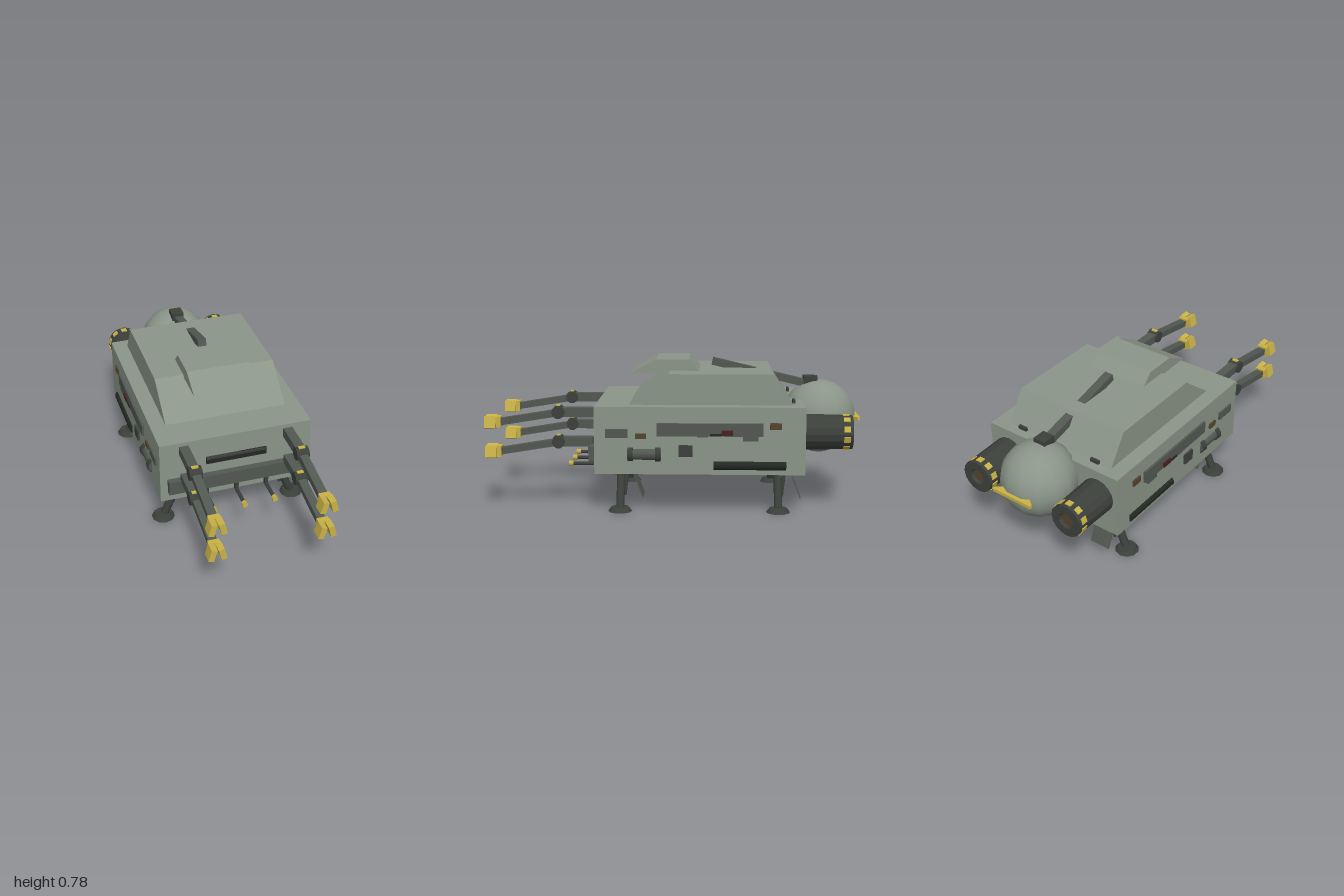
import * as THREE from 'three';

const mat = (color, extra = {}) => new THREE.MeshStandardMaterial({ color, ...extra });
const HULL = mat(0x8a9588), GREY = mat(0x525852), DARK = mat(0x3c403b), BLACK = mat(0x222822);
const GOLD = mat(0xc9b247), BROWN = mat(0x54442c), RED = mat(0x4c2020);

function add(parent, name, geometry, material, x = 0, y = 0, z = 0) {
  const m = new THREE.Mesh(geometry, material);
  m.name = name;
  m.position.set(x, y, z);
  parent.add(m);
  return m;
}
const box = (p, name, material, w, h, d, x, y, z) =>
  add(p, name, new THREE.BoxGeometry(w, h, d), material, x, y, z);

// Box given by its limits on each axis
const span = (p, name, material, x0, x1, y0, y1, z0, z1) =>
  box(p, name, material, x1 - x0, y1 - y0, z1 - z0, (x0 + x1) / 2, (y0 + y1) / 2, (z0 + z1) / 2);

// Box or round bar running between two points
function bar(p, name, material, a, b, w, h) {
  const from = new THREE.Vector3(...a), to = new THREE.Vector3(...b);
  const length = from.distanceTo(to);
  const g = h ? new THREE.BoxGeometry(w, h, length)
    : new THREE.CylinderGeometry(w, w, length, 10).rotateX(Math.PI / 2);
  const m = add(p, name, g, material);
  m.position.copy(from).add(to).multiplyScalar(0.5);
  m.lookAt(to);
  return m;
}

// Side profile of [z, y] points extruded across the width
function profile(p, name, material, points, width) {
  const shape = new THREE.Shape(points.map(([z, y]) => new THREE.Vector2(-z, y)));
  const g = new THREE.ExtrudeGeometry(shape, { depth: width, bevelEnabled: false });
  g.translate(0, 0, -width / 2).rotateY(Math.PI / 2);
  return add(p, name, g, material);
}

// Jointed arm with a two-pronged claw
function makeArm(x, y, z0) {
  const arm = new THREE.Group();
  arm.name = 'grabberArm';
  span(arm, 'upperArm', GREY, -0.025, 0.025, -0.025, 0.025, z0, 0.61);
  add(arm, 'elbow', new THREE.CylinderGeometry(0.035, 0.035, 0.066, 10).rotateZ(Math.PI / 2), DARK, 0, 0, 0.61);
  box(arm, 'elbowPin', GOLD, 0.035, 0.008, 0.02, 0, 0.034, 0.61);
  bar(arm, 'forearm', GREY, [0, -0.003, 0.61], [0, -0.055, 0.93], 0.044, 0.036);
  for (const s of [-1, 1]) {
    const prong = box(arm, 'clawProng', GOLD, 0.03, 0.064, 0.06, s * 0.026, -0.055, 0.97);
    prong.rotation.z = s * 0.26;
  }
  box(arm, 'clawBase', GOLD, 0.06, 0.058, 0.03, 0, -0.053, 0.93);
  arm.position.set(x, y, 0);
  return arm;
}

// Landing leg with splayed strut, round foot and door flap
function makeLeg(s, z) {
  const leg = new THREE.Group();
  leg.name = 'landingLeg';
  add(leg, 'foot', new THREE.CylinderGeometry(0.047, 0.063, 0.022, 10), DARK, s * 0.37, 0.011, 0);
  bar(leg, 'strut', DARK, [s * 0.363, 0.018, 0], [s * 0.28, 0.21, 0], 0.022);
  bar(leg, 'brace', DARK, [s * 0.308, 0.07, -0.02], [s * 0.285, 0.2, -0.035], 0.009);
  span(leg, 'mount', DARK, s * 0.285 - 0.055, s * 0.285 + 0.055, 0.188, 0.208, -0.03, 0.03);
  for (const d of [-0.045, 0.045]) {
    span(leg, 'hinge', DARK, s * 0.285 - 0.03, s * 0.285 + 0.03, 0.194, 0.208, d - 0.02, d + 0.02);
    box(leg, 'hingePin', GOLD, 0.045, 0.012, 0.012, s * 0.285, 0.196, d);
  }
  bar(leg, 'doorFlap', GREY, [s * 0.283, 0.207, -0.065], [s * 0.283, 0.068, -0.118], 0.115, 0.006);
  leg.position.z = z;
  return leg;
}

// Rear engine with gold studs round the rim and a sunken nozzle
function makeEngine(x) {
  const engine = new THREE.Group();
  engine.name = 'engine';
  const pts = [[0, 0], [0.096, 0], [0.09, 0.255], [0.045, 0.255], [0.035, 0.235], [0, 0.235]];
  const shell = new THREE.LatheGeometry(pts.map(p => new THREE.Vector2(...p)), 16).rotateX(-Math.PI / 2);
  add(engine, 'engineShell', shell, mat(0x3c403b, { flatShading: true, side: THREE.DoubleSide }));
  add(engine, 'nozzle', new THREE.CylinderGeometry(0.036, 0.036, 0.01, 12).rotateX(Math.PI / 2), BROWN, 0, 0, -0.236);
  for (let i = 0; i < 10; i++) {
    const a = (i + 0.5) * Math.PI / 5;
    const stud = box(engine, 'rimStud', GOLD, 0.012, 0.032, 0.034, Math.cos(a) * 0.087, Math.sin(a) * 0.087, -0.222);
    stud.rotation.z = a;
  }
  engine.position.set(x, 0.415, -0.68);
  return engine;
}

// Panels, pipe and tank on one flank
function makeFlank(s) {
  const flank = new THREE.Group();
  flank.name = 'flankDetails';
  const plates = [
    ['longPanel', GREY, -0.465, 0.085, 0.41, 0.477, 0.012],
    ['frontPanel', GREY, 0.235, 0.35, 0.4, 0.445, 0.01],
    ['frontMarker', BROWN, 0.14, 0.195, 0.395, 0.423, 0.01],
    ['redLight', RED, -0.31, -0.25, 0.415, 0.442, 0.02],
    ['darkSlot', BLACK, -0.25, -0.19, 0.412, 0.425, 0.016],
    ['rearMarker', BROWN, -0.56, -0.5, 0.447, 0.48, 0.01],
    ['hatch', DARK, -0.1, -0.03, 0.302, 0.362, 0.012],
    ['smallPanel', GREY, -0.44, -0.36, 0.386, 0.412, 0.01],
    ['smallTab', GREY, -0.18, -0.125, 0.404, 0.412, 0.01],
  ];
  for (const [name, m, z0, z1, y0, y1, t] of plates)
    box(flank, name, m, t * 2, y1 - y0, z1 - z0, s * 0.413, (y0 + y1) / 2, (z0 + z1) / 2);
  bar(flank, 'lowerPipe', BLACK, [s * 0.405, 0.255, -0.585], [s * 0.405, 0.255, -0.21], 0.025);
  bar(flank, 'tank', GREY, [s * 0.398, 0.312, 0.062], [s * 0.398, 0.312, 0.238], 0.033);
  for (const z of [0.078, 0.222])
    bar(flank, 'tankBand', DARK, [s * 0.398, 0.312, z - 0.014], [s * 0.398, 0.312, z + 0.014], 0.041);
  return flank;
}

export function createModel() {
  const ship = new THREE.Group();
  ship.name = 'utilityShip';

  // Hull, raised cabin and overhanging roof pod
  span(ship, 'hull', HULL, -0.413, 0.413, 0.207, 0.56, -0.685, 0.41);
  profile(ship, 'cabin', HULL, [[0.238, 0.555], [0.028, 0.721], [-0.522, 0.721], [-0.628, 0.555]], 0.662);
  profile(ship, 'roofPod', HULL, [[0.235, 0.708], [0.1, 0.78], [-0.078, 0.78], [-0.145, 0.708]], 0.348);

  // Sloping boom from the roof to the rear sphere
  bar(ship, 'boom', GREY, [0, 0.757, -0.202], [0, 0.636, -0.715], 0.048, 0.04);
  span(ship, 'boomClamp', DARK, -0.035, 0.035, 0.632, 0.677, -0.775, -0.7);
  for (const x of [-0.235, 0.235]) box(ship, 'rearLatch', DARK, 0.05, 0.02, 0.014, x, 0.57, -0.632);

  // Rear sphere with its gold handle
  add(ship, 'rearSphere', new THREE.SphereGeometry(0.2, 14, 14), HULL, 0, 0.457, -0.787);
  const handle = new THREE.Shape([[-0.12, 1], [0.12, 1], [0.12, 0.985], [0.085, 0.958], [-0.085, 0.958], [-0.12, 0.985]]
    .map(p => new THREE.Vector2(...p)));
  const handleGeo = new THREE.ExtrudeGeometry(handle, { depth: 0.018, bevelEnabled: false }).rotateX(-Math.PI / 2);
  add(ship, 'sphereHandle', handleGeo, GOLD, 0, 0.448, 0);

  // Front slot, lower bumper and three short guns
  span(ship, 'frontSlot', BLACK, -0.165, 0.165, 0.406, 0.445, 0.4, 0.423);
  span(ship, 'frontSlotLip', DARK, -0.165, 0.165, 0.435, 0.445, 0.41, 0.428);
  span(ship, 'bumper', GREY, -0.373, 0.373, 0.265, 0.343, 0.4, 0.445);
  for (const x of [-0.166, 0, 0.166]) {
    span(ship, 'gunBracket', DARK, x - 0.009, x + 0.009, 0.21, 0.27, 0.412, 0.435);
    bar(ship, 'gunBarrel', DARK, [x, 0.211, 0.4], [x, 0.211, 0.55], 0.01);
    add(ship, 'gunTip', new THREE.CylinderGeometry(0.016, 0.016, 0.025, 6).rotateX(Math.PI / 2), GOLD, x, 0.211, 0.562);
  }

  // Ladder-like vent under the tail
  const vent = new THREE.Group();
  vent.name = 'tailVent';
  for (const x of [-0.05, 0.05]) box(vent, 'ventRail', GREY, 0.012, 0.018, 0.33, x, 0, 0);
  for (let i = 0; i < 5; i++) box(vent, 'ventRung', GREY, 0.1, 0.018, 0.012, 0, 0, -0.159 + i * 0.0795);
  box(vent, 'ventBack', BLACK, 0.1, 0.006, 0.32, 0, 0.006, 0);
  vent.position.set(0, 0.203, -0.54);
  vent.rotation.x = 0.04;
  ship.add(vent);

  // Mirrored parts
  for (const s of [-1, 1]) {
    ship.add(makeArm(s * 0.283, 0.513, 0.4), makeArm(s * 0.283, 0.356, 0.43));
    ship.add(makeLeg(s, 0.28), makeLeg(s, -0.55));
    ship.add(makeEngine(s * 0.29), makeFlank(s));
  }
  return ship;
}
